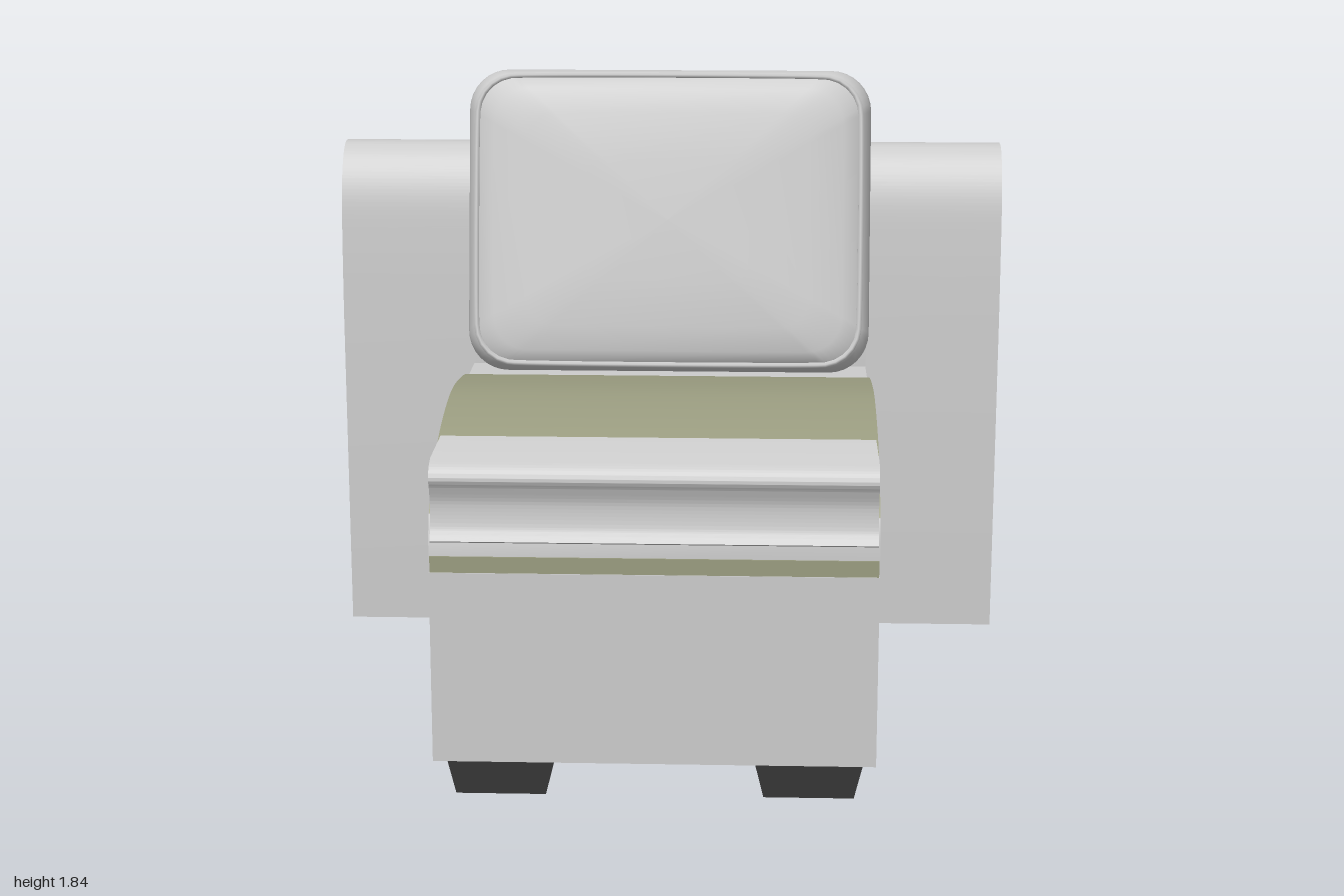
import * as THREE from 'three';
import { toCreasedNormals } from 'three/addons/utils/BufferGeometryUtils.js';

const paint = (color) => new THREE.MeshStandardMaterial({ color });
const grey = paint(0xcccccc);
const olive = paint(0x9a9c80);
const dark = paint(0x353535);
const wood = paint(0x9c7657);

function add(parent, name, geometry, material, x = 0, y = 0, z = 0) {
  const mesh = new THREE.Mesh(geometry, material);
  mesh.name = name;
  mesh.position.set(x, y, z);
  parent.add(mesh);
  return mesh;
}

// Side profile of [z, y] points, extruded across the width
function across(shape, width) {
  const g = new THREE.ExtrudeGeometry(shape, { depth: width, bevelEnabled: false, curveSegments: 28 });
  g.translate(0, 0, -width / 2);
  g.rotateY(-Math.PI / 2);
  return toCreasedNormals(g, 0.6);
}

// Straight lines through "lines", then a smooth curve through "curve"
function profile(lines, curve) {
  const s = new THREE.Shape();
  s.moveTo(...lines[0]);
  lines.slice(1).forEach((p) => s.lineTo(...p));
  if (curve) s.splineThru(curve.map((p) => new THREE.Vector2(...p)));
  s.closePath();
  return s;
}

// Outline of a rounded rectangle, counter-clockwise
function roundedOutline(w, h, r, steps = 8) {
  const pts = [];
  [[1, 1], [-1, 1], [-1, -1], [1, -1]].forEach(([sx, sy], q) => {
    for (let i = 0; i <= steps; i++) {
      const a = (q + i / steps) * Math.PI / 2;
      pts.push([sx * (w - r) + r * Math.cos(a), sy * (h - r) + r * Math.sin(a)]);
    }
  });
  return pts;
}

// Cushion skin: the outline scaled by k at each depth z, from front to back
function cushionSkin(outline, rings) {
  const n = outline.length, pos = [], idx = [];
  rings.forEach(([k, z]) => outline.forEach(([x, y]) => pos.push(x * k, y * k, z)));
  for (let r = 0; r < rings.length - 1; r++) {
    for (let i = 0; i < n; i++) {
      const a = r * n + i, b = r * n + (i + 1) % n;
      idx.push(a, a + n, b, b, a + n, b + n);
    }
  }
  const g = new THREE.BufferGeometry();
  g.setAttribute('position', new THREE.Float32BufferAttribute(pos, 3));
  g.setIndex(idx);
  g.computeVertexNormals();
  return g;
}

// Tapered block foot, narrower at the floor
function footGeometry() {
  const g = new THREE.BoxGeometry(0.3, 0.11, 0.13);
  const p = g.attributes.position;
  for (let i = 0; i < p.count; i++) if (p.getY(i) < 0) p.setX(i, p.getX(i) * 0.82);
  g.computeVertexNormals();
  return g;
}

export function createModel() {
  const chair = new THREE.Group();
  chair.name = 'armlessChair';

  // Seat base with a contrast strip under the cushion
  add(chair, 'seatBase', new THREE.BoxGeometry(1.2, 0.535, 1.2), grey, 0, 0.3775, 0.17);
  add(chair, 'baseTop', across(profile(
    [[-0.43, 0.64], [0.76, 0.64], [0.765, 0.74], [0.74, 0.8], [-0.4, 0.8], [-0.43, 0.74]]), 1.2), grey);
  add(chair, 'frontStrip', new THREE.BoxGeometry(1.196, 0.045, 0.02), olive, 0, 0.667, 0.757);

  // Seat cushion: rolled front lip with a hollow beneath it
  add(chair, 'seatCushion', across(profile(
    [[0.77, 0.73], [-0.42, 0.73], [-0.42, 0.9], [-0.37, 0.95], [0.72, 0.95]],
    [[0.76, 0.935], [0.778, 0.905], [0.765, 0.875], [0.752, 0.83], [0.758, 0.77], [0.778, 0.735]]), 1.19), grey);

  // Domed seat cover
  add(chair, 'seatCover', across(profile([[-0.42, 0.74], [0.745, 0.74]],
    [[0.735, 0.8], [0.61, 0.9], [0.44, 0.965], [0.2, 1.0], [-0.03, 0.985],
      [-0.22, 0.95], [-0.35, 0.88], [-0.415, 0.79]]), 1.2), olive);

  // Wide backrest with a rounded top
  add(chair, 'backrest', across(profile([[-0.72, 0.11], [-0.43, 0.11], [-0.43, 1.1]],
    [[-0.44, 1.3], [-0.455, 1.45], [-0.49, 1.54], [-0.54, 1.59], [-0.6, 1.6],
      [-0.66, 1.585], [-0.705, 1.54], [-0.72, 1.46], [-0.72, 1.3]]), 2), grey);

  // Padded roll draped over the middle of the backrest
  add(chair, 'backRoll', across(profile([[-0.715, 0.92], [-0.43, 0.92], [-0.43, 1.15], [-0.5, 1.6], [-0.545, 1.61]],
    [[-0.57, 1.66], [-0.61, 1.71], [-0.67, 1.728], [-0.73, 1.705], [-0.775, 1.65],
      [-0.78, 1.55], [-0.765, 1.3], [-0.74, 1.08], [-0.72, 0.92]]), 1.196), grey);

  // Leaning back pillow: grey front and rim, contrast back, piping
  const pillow = new THREE.Group();
  pillow.name = 'backPillow';
  pillow.position.set(0, 1.4, -0.335);
  pillow.rotation.x = -0.205;
  chair.add(pillow);
  const outline = roundedOutline(0.6, 0.45, 0.12);
  add(pillow, 'pillowFront', cushionSkin(outline,
    [[0, 0.115], [0.4, 0.113], [0.7, 0.104], [0.86, 0.09], [0.93, 0.073], [0.965, 0.05],
      [0.99, 0.015], [1, -0.02], [0.995, -0.05], [0.97, -0.07]]), grey);
  add(pillow, 'pillowBack', cushionSkin(outline,
    [[0.97, -0.07], [0.93, -0.085], [0.8, -0.1], [0.5, -0.11], [0, -0.115]]), olive);
  for (const [k, z] of [[0.945, 0.07], [0.975, -0.07]]) {
    const path = new THREE.CatmullRomCurve3(outline.map(([x, y]) => new THREE.Vector3(x * k, y * k, z)), true);
    add(pillow, 'pillowPiping', new THREE.TubeGeometry(path, 120, 0.009, 6, true), grey);
  }

  // Block feet and turned wooden pegs
  const foot = footGeometry();
  const peg = new THREE.CylinderGeometry(0.05, 0.035, 0.09, 16);
  for (const side of [-1, 1]) {
    for (const z of [0.66, -0.565]) add(chair, 'foot', foot, dark, side * 0.42, 0.055, z);
    for (const [x, z] of [[0.42, 0.47], [0.49, 0.6], [0.45, -0.595]]) {
      add(chair, 'peg', peg, wood, side * x, 0.075, z);
    }
  }
  return chair;
}
